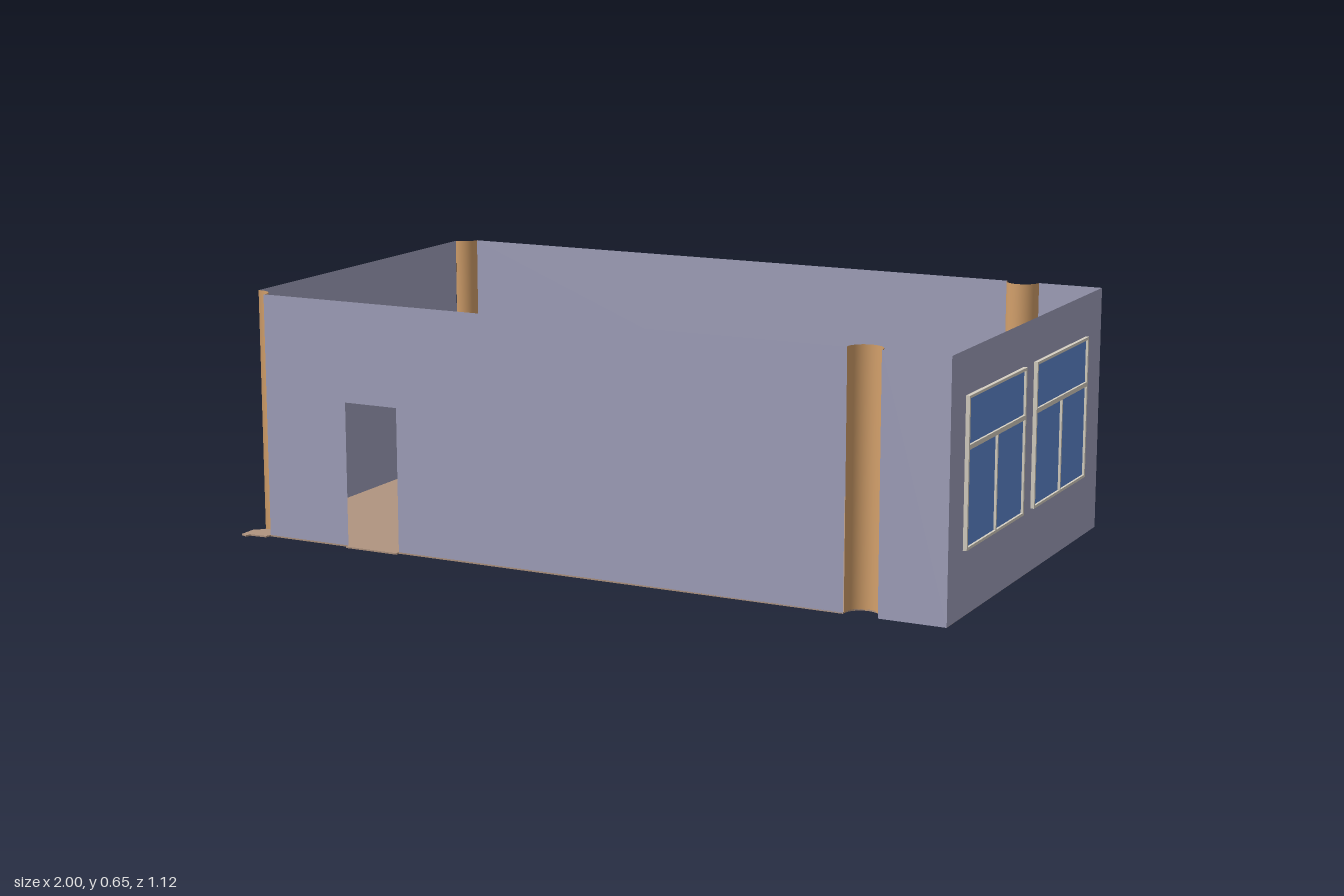
import * as THREE from 'three';

const H = 0.65, LEFT = -0.975, RIGHT = 0.99, BACK = -0.56, FRONT = 0.525;
const PI = Math.PI;

// Column niches: centre, radius and the arc (angle 0 points to +z, PI/2 to +x)
const NICHES = {
  backRight: { x: 0.77, z: -0.563, r: 0.045, from: -PI / 2, to: PI / 2 },
  frontRight: { x: 0.77, z: 0.52, r: 0.045, from: PI / 2, to: 1.5 * PI },
  backLeft: { x: -0.968, z: -0.565, r: 0.043, from: -0.16, to: PI / 2 },
  frontLeft: { x: -0.968, z: 0.52, r: 0.045, from: PI / 2, to: PI + 0.16 },
};

function material(name, color, double = true) {
  const m = new THREE.MeshStandardMaterial({ color });
  m.name = name;
  if (double) m.side = THREE.DoubleSide;
  return m;
}

function rect(path, x0, y0, x1, y1) {
  path.moveTo(x0, y0);
  path.lineTo(x1, y0);
  path.lineTo(x1, y1);
  path.lineTo(x0, y1);
  path.closePath();
  return path;
}

// Flat rectangle with rectangular holes, each given as [x0, y0, x1, y1]
function panelShape(outer, holes = []) {
  const shape = rect(new THREE.Shape(), ...outer);
  holes.forEach((h) => shape.holes.push(rect(new THREE.Path(), ...h)));
  return shape;
}

function arc(n, steps = 16) {
  return Array.from({ length: steps + 1 }, (_, i) => {
    const a = n.from + ((n.to - n.from) * i) / steps;
    return [n.x + n.r * Math.sin(a), n.z + n.r * Math.cos(a)];
  });
}

export function createModel() {
  const room = new THREE.Group();
  room.name = 'room';
  const wallMat = material('wall lavender', 0xa2a2bd);
  const columnMat = material('column tan', 0xd3a06b);
  const floorMat = material('floor brown', 0xb09480, false);
  const frameMat = material('frame cream', 0xd6d0c3, false);
  const glassMat = material('glass blue', 0x5f88d2);

  const add = (name, geometry, mat, parent = room) => {
    const mesh = new THREE.Mesh(geometry, mat);
    mesh.name = name;
    parent.add(mesh);
    return mesh;
  };

  // Floor slab, notched at the niches, with a threshold and a flared front corner
  const outline = [
    ...arc(NICHES.backLeft),
    ...arc(NICHES.backRight),
    [RIGHT, BACK], [RIGHT, FRONT],
    ...arc(NICHES.frontRight).map(([x, z]) => [x, Math.min(z, FRONT)]),
    [0.725, FRONT], [-0.525, FRONT], [-0.525, 0.537], [-0.68, 0.537], [-0.68, FRONT],
    [-0.925, FRONT], [-0.93, 0.54], [-0.975, 0.543], [-0.982, 0.556], [-1, 0.55],
    [-1, 0.495], [-0.985, 0.487], [LEFT, 0.475],
  ];
  const floorShape = new THREE.Shape(outline.map(([x, z]) => new THREE.Vector2(x, -z)));
  const floorGeo = new THREE.ExtrudeGeometry(floorShape, { depth: 0.004, bevelEnabled: false });
  add('floor', floorGeo.rotateX(-PI / 2), floorMat);

  // Front and back walls, interrupted by the right-hand columns
  const wallZ = (name, z, x0, x1, holes) =>
    add(name, new THREE.ShapeGeometry(panelShape([x0, 0, x1, H], holes)).translate(0, 0, z), wallMat);
  wallZ('backWall', BACK, -0.925, 0.725);
  wallZ('backWallEnd', BACK, 0.815, RIGHT);
  wallZ('frontWallEnd', FRONT, 0.815, RIGHT);
  // The doorway cuts through the bottom edge of the front wall
  const front = new THREE.Shape([
    [-0.925, 0], [-0.68, 0], [-0.68, 0.385], [-0.525, 0.385], [-0.525, 0],
    [0.725, 0], [0.725, H], [-0.925, H],
  ].map(([x, y]) => new THREE.Vector2(x, y)));
  add('frontWallWithDoorway', new THREE.ShapeGeometry(front).translate(0, 0, FRONT), wallMat);

  // Side walls: shape x runs along -z after the turn towards +x
  const sideways = (geometry, x) => geometry.rotateY(PI / 2).translate(x, 0, 0);
  const leftShape = panelShape([-0.475, 0, 0.522, H]);
  add('leftWall', sideways(new THREE.ShapeGeometry(leftShape), LEFT), wallMat);
  const windows = [[-0.43, 0.165, -0.035, 0.54], [0.04, 0.165, 0.435, 0.54]];
  const rightShape = panelShape([-FRONT, 0, -BACK, H], windows);
  add('windowWall', sideways(new THREE.ShapeGeometry(rightShape), RIGHT), wallMat);

  // Windows: one wide upper pane above two lower ones
  windows.forEach(([x0, y0, x1, y1], i) => {
    const win = new THREE.Group();
    win.name = `window${i + 1}`;
    room.add(win);
    const b = 0.007, mid = (x0 + x1) / 2;
    const panes = [
      [x0 + b, 0.421, x1 - b, y1 - b],
      [x0 + b, y0 + b, mid - 0.003, 0.409],
      [mid + 0.003, y0 + b, x1 - b, 0.409],
    ];
    const frame = new THREE.ExtrudeGeometry(panelShape([x0, y0, x1, y1], panes),
      { depth: 0.015, bevelEnabled: false });
    add('windowFrame', sideways(frame, 0.985), frameMat, win);
    panes.forEach((p) =>
      add('windowPane', sideways(new THREE.ShapeGeometry(panelShape(p)), 0.994), glassMat, win));
  });

  // Curved column surfaces standing in the niches
  for (const [name, n] of Object.entries(NICHES)) {
    const geo = new THREE.CylinderGeometry(n.r, n.r, H, 16, 1, true, n.from, n.to - n.from);
    add(`${name}Column`, geo.translate(n.x, H / 2, n.z), columnMat);
  }
  return room;
}
